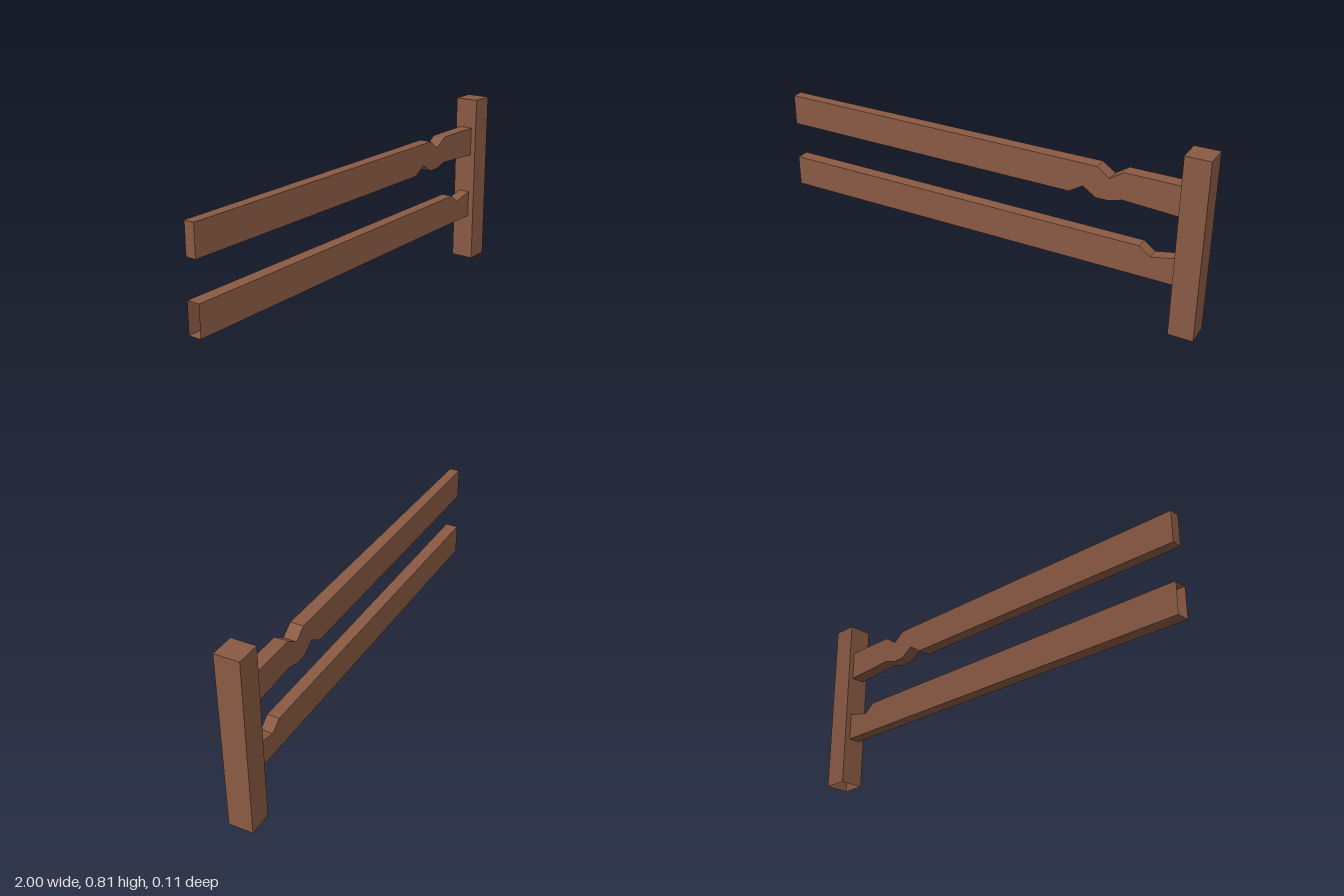
import * as THREE from 'three';

// Keep only the triangles for which keep(a, b, c) is true
function filterTriangles(geometry, keep) {
  const geo = geometry.index ? geometry.toNonIndexed() : geometry;
  const p = geo.attributes.position;
  const out = [];
  for (let i = 0; i < p.count; i += 3) {
    const tri = [0, 1, 2].map((k) => new THREE.Vector3().fromBufferAttribute(p, i + k));
    if (keep(...tri)) tri.forEach((v) => out.push(v.x, v.y, v.z));
  }
  const result = new THREE.BufferGeometry();
  result.setAttribute('position', new THREE.Float32BufferAttribute(out, 3));
  result.computeVertexNormals();
  return result;
}

// Drop the faces lying flat at axis = value, leaving that end open
function openEnd(geometry, axis, value) {
  return filterTriangles(geometry, (...tri) => !tri.every((v) => Math.abs(v[axis] - value) < 1e-4));
}

// Rail from a side outline, with half-thickness running from zLeft to zRight
function railGeometry(outline, zLeft, zRight) {
  const shape = new THREE.Shape(outline.map(([x, y]) => new THREE.Vector2(x, y)));
  const geo = new THREE.ExtrudeGeometry(shape, { depth: 1, bevelEnabled: false });
  const p = geo.attributes.position;
  for (let i = 0; i < p.count; i++) {
    const half = THREE.MathUtils.mapLinear(p.getX(i), -1, 0.89, zLeft, zRight);
    p.setZ(i, p.getZ(i) > 0.5 ? half : -half);
  }
  return openEnd(geo, 'x', 0.89); // this end butts against the post
}

export function createModel() {
  const group = new THREE.Group();
  const wood = new THREE.MeshStandardMaterial({ color: 0x8a5a43, side: THREE.DoubleSide });

  const add = (name, geometry) => {
    const mesh = new THREE.Mesh(geometry, wood);
    mesh.name = name;
    group.add(mesh);
  };

  // Post, hollow underneath
  const post = new THREE.BoxGeometry(0.11, 0.81, 0.11).translate(0.945, 0.405, 0);
  add('post', openEnd(post, 'y', 0));

  // Upper rail with notches worn into both edges
  add('upperRail', railGeometry([
    [-1, 0.53], [0.41, 0.53], [0.47, 0.568], [0.53, 0.53], [0.585, 0.53], [0.645, 0.548],
    [0.89, 0.535], [0.89, 0.67], [0.645, 0.67], [0.585, 0.63], [0.53, 0.67], [-1, 0.67],
  ], 0.024, 0.031));

  // Lower rail with one notch by the post and an open free end
  const lower = railGeometry([
    [-1, 0.22], [0.89, 0.22], [0.89, 0.345], [0.78, 0.322], [0.73, 0.36], [-1, 0.36],
  ], 0.03, 0.027);
  add('lowerRail', openEnd(lower, 'x', -1));

  return group;
}
